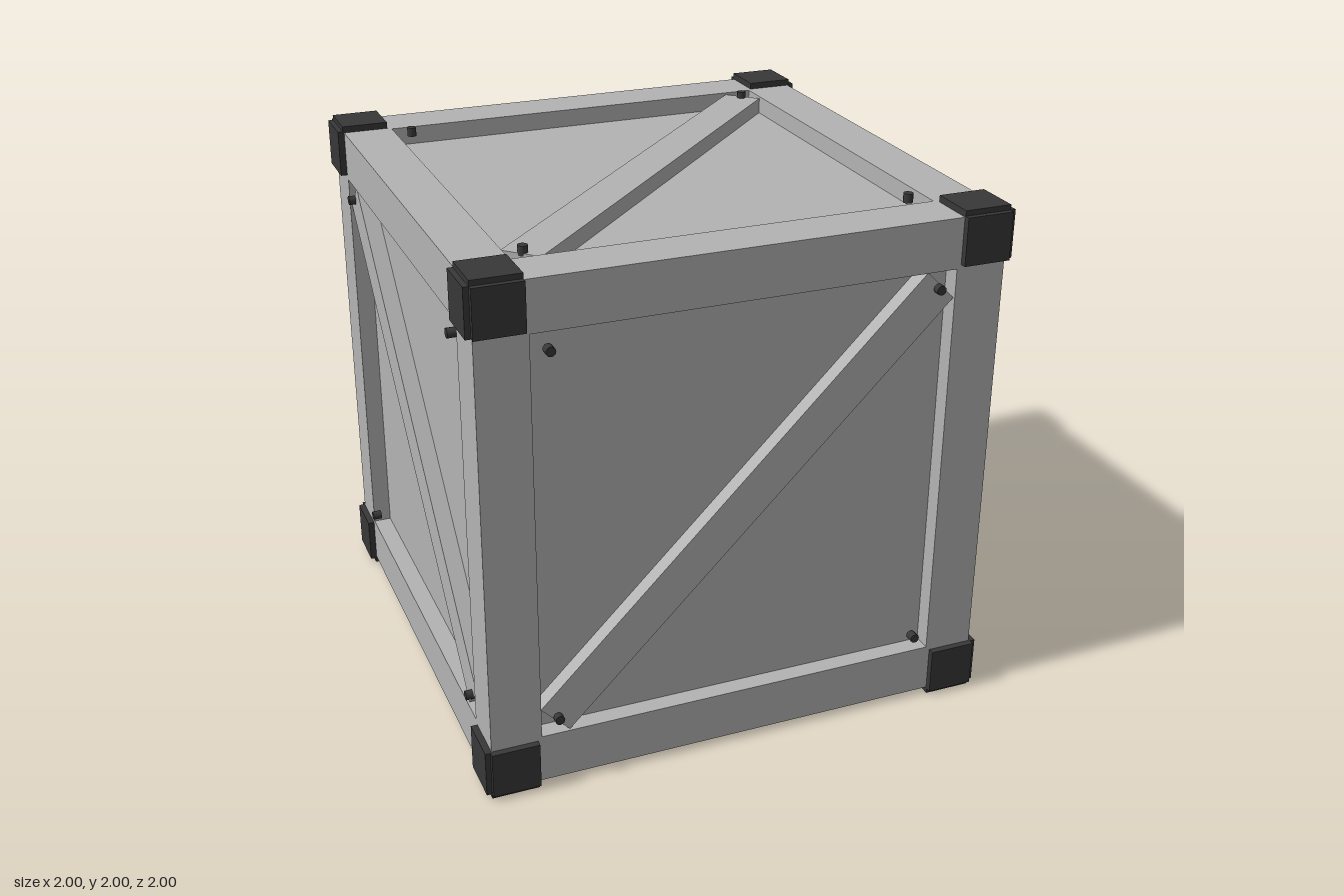
import * as THREE from 'three';

export function createModel() {
  const model = new THREE.Group();
  model.name = 'crate';
  const grey = new THREE.MeshStandardMaterial({ color: 0xb3b3b3 });
  grey.name = 'lightGrey';
  const dark = new THREE.MeshStandardMaterial({ color: 0x383838 });
  dark.name = 'darkGrey';

  const OUT = 0.975;            // outer plane of the frame
  const BEAM = 0.19;            // beam thickness
  const PANEL = 0.905;          // plane of the recessed panels
  const BOLT = 0.72;            // bolt offset from the face centre

  const body = new THREE.Group();
  body.name = 'body';
  body.position.y = 1;
  model.add(body);

  function add(parent, name, geometry, material, x = 0, y = 0, z = 0) {
    const mesh = new THREE.Mesh(geometry, material);
    mesh.name = name;
    mesh.position.set(x, y, z);
    parent.add(mesh);
    return mesh;
  }

  // Twelve frame beams, four along each axis, ending inside the corner caps
  const mid = OUT - BEAM / 2;
  for (let axis = 0; axis < 3; axis++) {
    const size = [BEAM, BEAM, BEAM];
    size[axis] = 1.7;
    const beam = new THREE.BoxGeometry(...size);
    for (const a of [-1, 1]) for (const b of [-1, 1]) {
      const p = [0, 0, 0];
      p[(axis + 1) % 3] = a * mid;
      p[(axis + 2) % 3] = b * mid;
      add(body, 'frameBeam', beam, grey, ...p);
    }
  }

  // Eight corner caps with stepped edges: three crossing blocks each
  for (const x of [-1, 1]) for (const y of [-1, 1]) for (const z of [-1, 1]) {
    const cap = new THREE.Group();
    cap.name = 'cornerCap';
    for (let axis = 0; axis < 3; axis++) {
      const size = [0.18, 0.18, 0.18];
      const p = [0.89, 0.89, 0.89];
      size[axis] = 0.2;
      p[axis] = 0.9;
      add(cap, 'capBlock', new THREE.BoxGeometry(...size), dark, x * p[0], y * p[1], z * p[2]);
    }
    body.add(cap);
  }

  // Six faces: recessed panel, diagonal brace (none underneath) and four bolts
  const panel = new THREE.BoxGeometry(1.62, 1.62, 0.04);
  const brace = new THREE.BoxGeometry(2.065, 0.153, 0.075);
  const bolt = new THREE.CylinderGeometry(0.018, 0.018, 0.035, 12).rotateX(Math.PI / 2);
  const H = Math.PI / 2;
  const faces = [
    ['frontFace', 0, 0, 1],
    ['leftFace', 0, H, -1],
    ['backFace', 0, 2 * H, 1],
    ['rightFace', 0, -H, -1],
    ['topFace', -H, 0, 1],
    ['bottomFace', H, 0, 0],
  ];
  for (const [name, rx, ry, slope] of faces) {
    const face = new THREE.Group();
    face.name = name;
    face.rotation.set(rx, ry, 0);
    add(face, 'panel', panel, grey, 0, 0, PANEL - 0.02);
    if (slope) add(face, 'diagonalBrace', brace, grey, 0, 0, 0.93).rotation.z = slope * Math.PI / 4;
    for (const a of [-1, 1]) for (const b of [-1, 1]) {
      add(face, 'bolt', bolt, dark, a * BOLT, b * BOLT, 0.976);
    }
    body.add(face);
  }
  return model;
}
